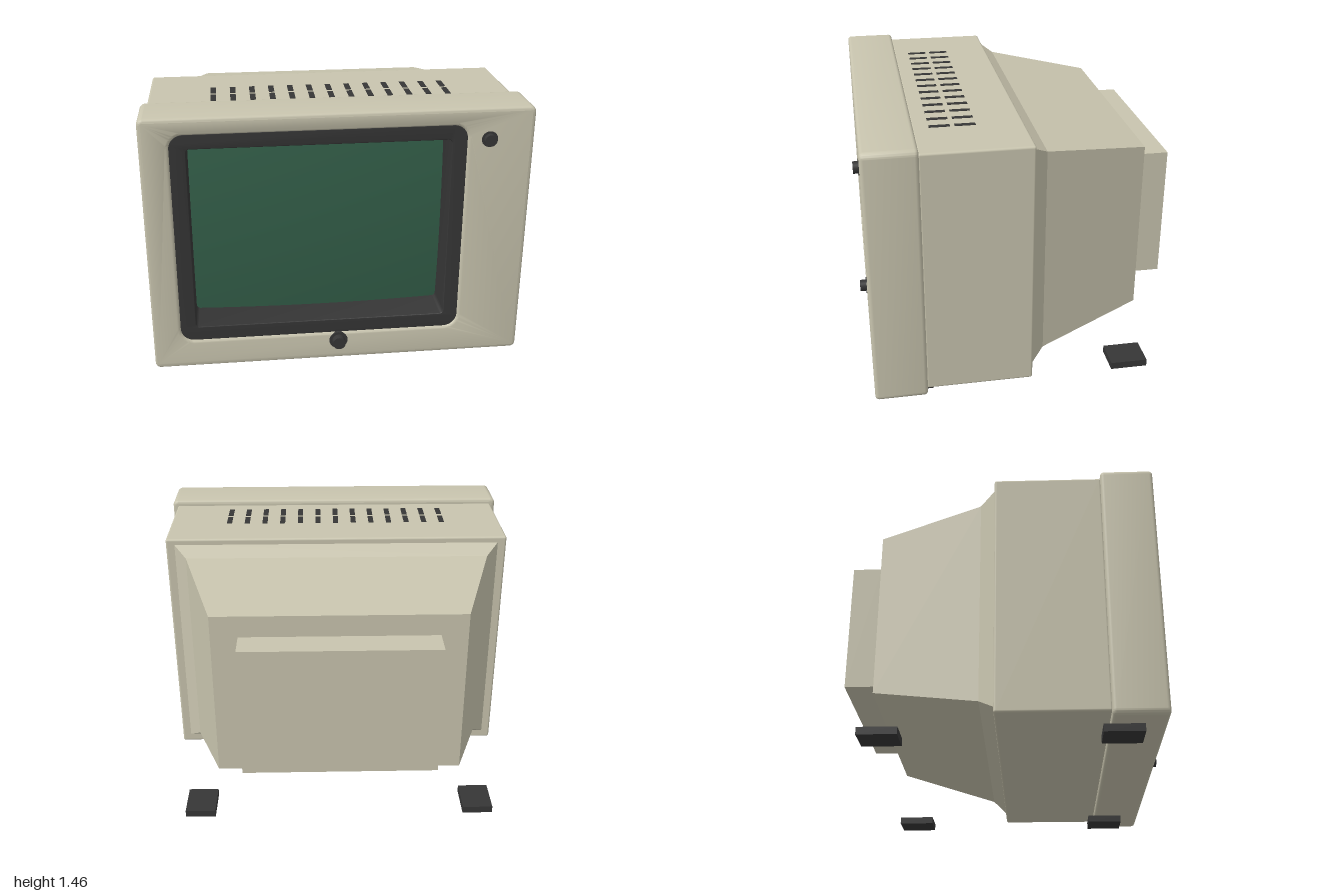
import * as THREE from 'three';
import { toCreasedNormals } from 'three/addons/utils/BufferGeometryUtils.js';
import { RoundedBoxGeometry } from 'three/addons/geometries/RoundedBoxGeometry.js';

const material = (name, color) => {
  const m = new THREE.MeshStandardMaterial({ color });
  m.name = name;
  return m;
};

// Rounded rectangle outline between two corners
function roundedRect(x0, y0, x1, y1, r, Type = THREE.Shape) {
  const s = new Type();
  s.absarc(x1 - r, y1 - r, r, 0, Math.PI / 2);
  s.absarc(x0 + r, y1 - r, r, Math.PI / 2, Math.PI);
  s.absarc(x0 + r, y0 + r, r, Math.PI, Math.PI * 1.5);
  s.absarc(x1 - r, y0 + r, r, Math.PI * 1.5, Math.PI * 2);
  s.closePath();
  return s;
}

// Plate with a window, spanning z0 to z1, with rounded edges
function framePlate(shape, z0, z1, bevel) {
  const g = new THREE.ExtrudeGeometry(shape, {
    depth: z1 - z0 - 2 * bevel, bevelEnabled: true, bevelThickness: bevel,
    bevelSize: bevel, bevelOffset: -bevel, bevelSegments: 4, curveSegments: 8,
  });
  g.translate(0, 0, z0 + bevel);
  return toCreasedNormals(g, 0.6);
}

// Rectangular sections [halfWidth, bottom, top, z] joined front to back
function loft(sections) {
  const rings = sections.map(([w, b, t, z]) => [[-w, b, z], [w, b, z], [w, t, z], [-w, t, z]]);
  const p = [];
  const quad = (a, b, c, d) => p.push(...a, ...b, ...c, ...a, ...c, ...d);
  for (let i = 0; i < rings.length - 1; i++) {
    for (let k = 0; k < 4; k++) {
      const n = (k + 1) % 4;
      quad(rings[i][k], rings[i + 1][k], rings[i + 1][n], rings[i][n]);
    }
  }
  const e = rings[rings.length - 1];
  quad(e[3], e[2], e[1], e[0]);
  const g = new THREE.BufferGeometry();
  g.setAttribute('position', new THREE.Float32BufferAttribute(p, 3));
  g.computeVertexNormals();
  return g;
}

export function createModel() {
  const model = new THREE.Group();
  model.name = 'monitor';
  const beige = material('beige plastic', 0xc8c4ae);
  const dark = material('dark plastic', 0x363636);
  const green = material('green glass', 0x34604a);

  const add = (name, geometry, mat, x = 0, y = 0, z = 0, parent = model) => {
    const mesh = new THREE.Mesh(geometry, mat);
    mesh.name = name;
    mesh.position.set(x, y, z);
    parent.add(mesh);
    return mesh;
  };
  const group = (name) => {
    const g = new THREE.Group();
    g.name = name;
    model.add(g);
    return g;
  };

  // Front bezel with the screen opening offset to one side
  const bezel = roundedRect(-1, 0.04, 1, 1.46, 0.03);
  bezel.holes.push(roundedRect(-0.85, 0.205, 0.65, 1.37, 0.07, THREE.Path));
  add('frontBezel', framePlate(bezel, 0.54, 0.82, 0.02), beige);

  // Dark surround, deep enough to form the recess walls
  const surround = roundedRect(-0.855, 0.2, 0.655, 1.375, 0.075);
  surround.holes.push(roundedRect(-0.77, 0.28, 0.575, 1.295, 0.02, THREE.Path));
  add('screenSurround', framePlate(surround, 0.55, 0.81, 0.004), dark);

  // Slightly bulging screen
  const w = 1.36, h = 1.03;
  const glass = new THREE.PlaneGeometry(w, h, 24, 20);
  const pos = glass.attributes.position;
  for (let i = 0; i < pos.count; i++) {
    const u = pos.getX(i) / (w / 2), v = pos.getY(i) / (h / 2);
    pos.setZ(i, 0.05 * (1 - 0.5 * (u * u + v * v)));
  }
  glass.computeVertexNormals();
  add('screen', glass, green, -0.0975, 0.7875, 0.605);

  // Main housing and tapered rear
  add('housing', new RoundedBoxGeometry(1.94, 1.36, 0.575, 3, 0.012), beige, 0, 0.75, 0.2575);
  add('rearTaper', loft([
    [0.925, 0.115, 1.4, -0.025],
    [0.85, 0.18, 1.347, -0.11],
    [0.675, 0.31, 1.26, -0.675],
  ]), beige);
  add('rearBox', new THREE.BoxGeometry(1.055, 0.74, 0.16), beige, 0, 0.783, -0.78);

  // Two rows of top vents
  const vents = group('topVents');
  for (let i = -6; i <= 6; i++) {
    for (const z of [0.272, 0.404]) {
      add('vent', new THREE.BoxGeometry(0.03, 0.008, 0.108), dark, i * 0.1045, 1.428, z, vents);
    }
  }

  // Knobs, each with a thin collar
  const knob = (name, x, y, r, collar, end) => {
    const g = group(name);
    const disc = (part, radius, z1) => {
      const geo = new THREE.CylinderGeometry(radius, radius, z1 - 0.8, 24);
      geo.rotateX(Math.PI / 2);
      add(part, geo, dark, x, y, (z1 + 0.8) / 2, g);
    };
    disc('collar', collar, 0.823);
    disc('knobBody', r, end);
  };
  knob('powerKnob', 0.765, 1.295, 0.031, 0.042, 0.85);
  knob('centerKnob', -0.003, 0.155, 0.035, 0.05, 0.86);

  // Four feet
  const feet = group('feet');
  for (const x of [-0.795, 0.795]) {
    for (const z of [-0.605, 0.605]) {
      add('foot', new THREE.BoxGeometry(0.17, 0.04, 0.205), dark, x, 0.02, z, feet);
    }
  }
  return model;
}
